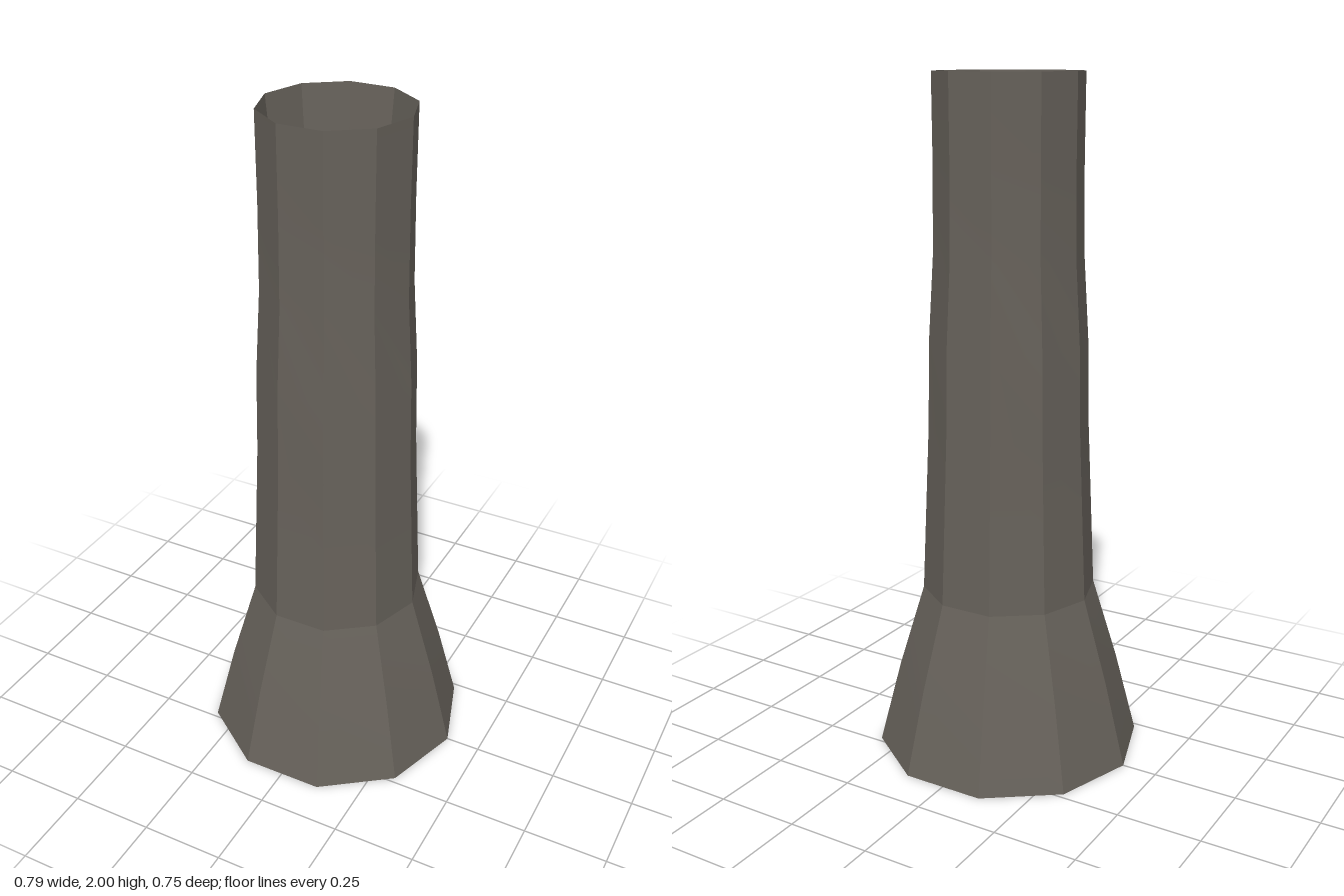
import * as THREE from 'three';
import { toCreasedNormals } from 'three/addons/utils/BufferGeometryUtils.js';

const SIDES = 10;

export function createModel() {
  const group = new THREE.Group();
  group.name = 'column';
  const material = new THREE.MeshStandardMaterial({ color: 0x66615a, side: THREE.DoubleSide });

  // Ten-sided shaft with a flared foot, open at the bottom: [radius, height]
  const profile = [
    [0.396, 0], [0.332, 0.25], [0.257, 0.5], [0.246, 0.75], [0.235, 1],
    [0.23, 1.25], [0.215, 1.5], [0.212, 1.75], [0.213, 2],
  ].map(([r, y]) => new THREE.Vector2(r, y));
  const shaftGeometry = new THREE.LatheGeometry(profile, SIDES, Math.PI / 2);
  const shaft = new THREE.Mesh(toCreasedNormals(shaftGeometry, THREE.MathUtils.degToRad(10)), material);
  shaft.name = 'shaft';
  group.add(shaft);

  // Deep funnel from the top rim down to a point at the base
  const funnelGeometry = new THREE.ConeGeometry(0.213, 2, SIDES, 1, true, Math.PI / 2);
  funnelGeometry.rotateX(Math.PI).translate(0, 1, 0);
  const funnel = new THREE.Mesh(toCreasedNormals(funnelGeometry, THREE.MathUtils.degToRad(10)), material);
  funnel.name = 'innerFunnel';
  group.add(funnel);

  return group;
}
